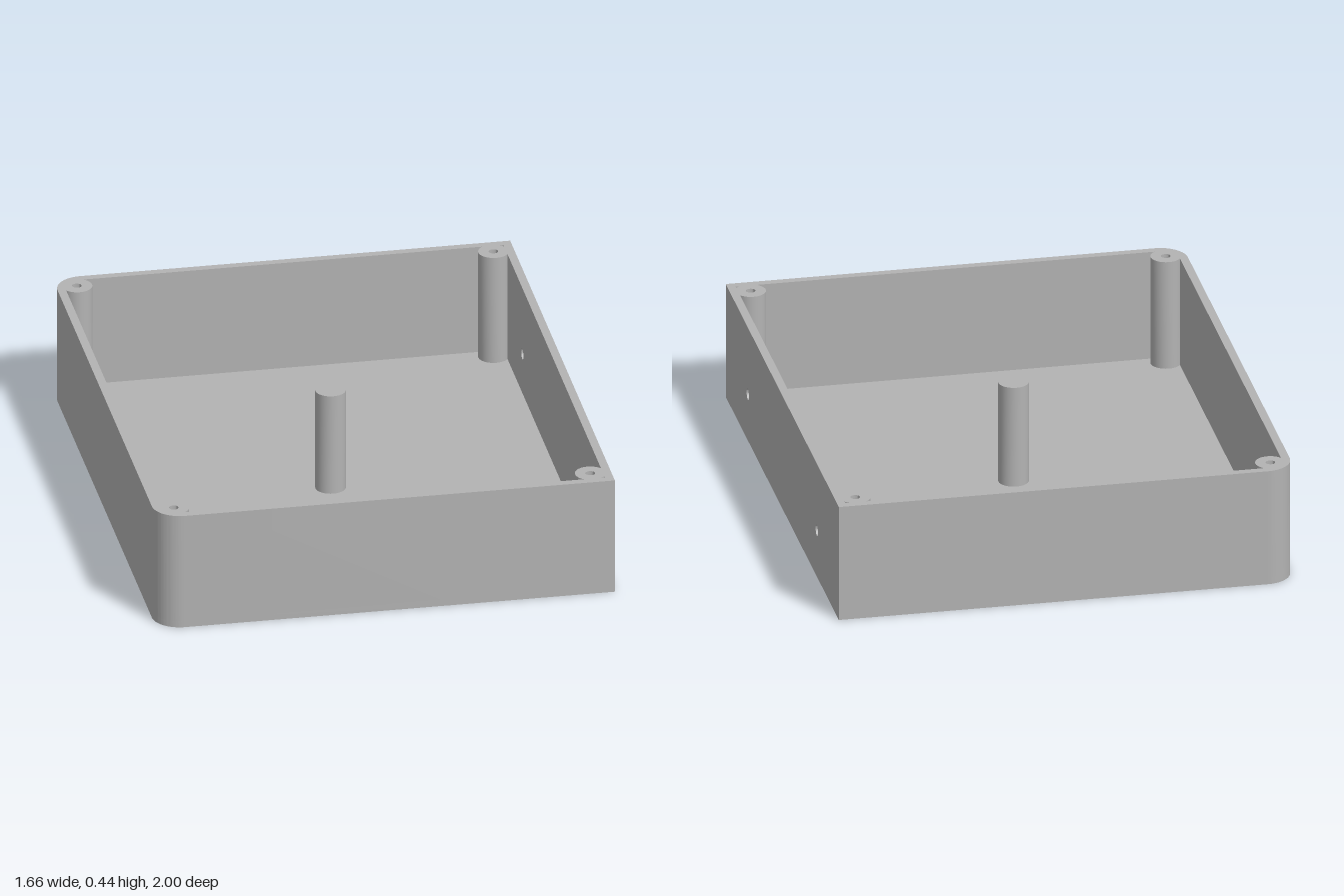
import * as THREE from 'three';
import { toCreasedNormals } from 'three/addons/utils/BufferGeometryUtils.js';

const X = 0.83, Z = 1, H = 0.44;          // outer half sizes and height
const WALL = 0.03, FLOOR = 0.025, R = 0.1; // thicknesses, corner radius
const IX = X - WALL, IZ = Z - WALL;

export function createModel() {
  const group = new THREE.Group();
  const plastic = new THREE.MeshStandardMaterial({ color: 0xb3b3b3 });
  plastic.name = 'grey plastic';

  const add = (name, geometry, x = 0, y = 0, z = 0) => {
    const mesh = new THREE.Mesh(toCreasedNormals(geometry, 0.6), plastic);
    mesh.name = name;
    mesh.position.set(x, y, z);
    group.add(mesh);
  };
  const extrude = (shape, depth) =>
    new THREE.ExtrudeGeometry(shape, { depth, bevelEnabled: false, curveSegments: 16 });

  // Continues a path around the two rounded corners on the -x side
  const roundedSide = (path, x, z, r) => {
    path.lineTo(-x + r, z);
    path.absarc(-x + r, z - r, r, Math.PI / 2, Math.PI, false);
    path.lineTo(-x, -z + r);
    path.absarc(-x + r, -z + r, r, Math.PI, Math.PI * 1.5, false);
  };

  // Floor plate: square on the +x side, rounded on the -x side
  const floor = new THREE.Shape();
  floor.moveTo(X, -Z);
  floor.lineTo(X, Z);
  roundedSide(floor, X, Z, R);
  floor.closePath();
  add('floor', extrude(floor, FLOOR).rotateX(-Math.PI / 2));

  // Front, left-hand and back walls as one U-shaped band
  const ir = R - WALL;
  const band = new THREE.Shape();
  band.moveTo(IX, Z);
  roundedSide(band, X, Z, R);
  band.lineTo(IX, -Z);
  band.lineTo(IX, -IZ);
  band.lineTo(-IX + ir, -IZ);
  band.absarc(-IX + ir, -IZ + ir, ir, Math.PI * 1.5, Math.PI, true);
  band.lineTo(-IX, IZ - ir);
  band.absarc(-IX + ir, IZ - ir, ir, Math.PI, Math.PI / 2, true);
  band.lineTo(IX, IZ);
  band.closePath();
  add('threeSidedWall', extrude(band, H - FLOOR).rotateX(-Math.PI / 2), 0, FLOOR);

  // Straight wall on the +x side with two through holes
  const side = new THREE.Shape();
  side.moveTo(-Z, FLOOR);
  side.lineTo(Z, FLOOR);
  side.lineTo(Z, H);
  side.lineTo(-Z, H);
  side.closePath();
  for (const z of [-0.61, 0.61]) {
    side.holes.push(new THREE.Path().absarc(z, 0.18, 0.021, 0, Math.PI * 2, true));
  }
  add('drilledWall', extrude(side, WALL).rotateY(Math.PI / 2), IX);

  // Corner screw bosses with blind holes
  const bossProfile = [[0.055, FLOOR], [0.055, H], [0.017, H], [0.017, 0.2], [0, 0.2]]
    .map(([r, y]) => new THREE.Vector2(r, y));
  for (const x of [-0.755, 0.755]) {
    for (const z of [-0.925, 0.925]) {
      add('screwBoss', new THREE.LatheGeometry(bossProfile, 32), x, 0, z);
    }
  }

  // Solid post near the middle of the floor
  const postTop = 0.41;
  add('centrePost', new THREE.CylinderGeometry(0.055, 0.055, postTop - FLOOR, 32),
    -0.015, (postTop + FLOOR) / 2, 0.02);

  return group;
}
